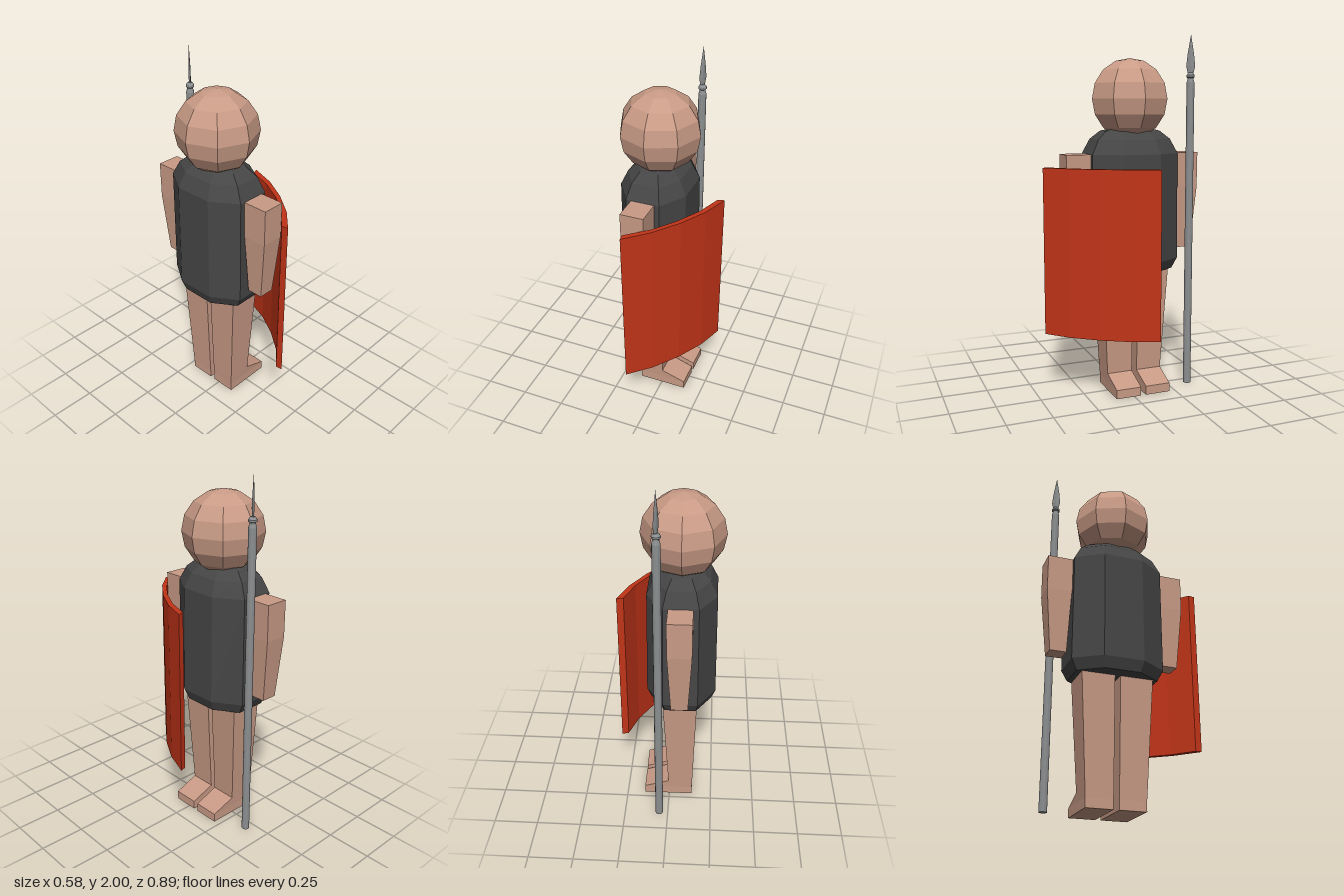
import * as THREE from 'three';

const paint = (color) => new THREE.MeshStandardMaterial({ color, flatShading: true, side: THREE.DoubleSide });

// Skin a stack of rings (each an equal list of [x, y, z], lowest first) and cap both ends
function loft(rings) {
  const n = rings[0].length, index = [];
  for (let r = 0; r < rings.length - 1; r++) {
    for (let i = 0; i < n; i++) {
      const a = r * n + i, b = r * n + (i + 1) % n;
      index.push(a, a + n, b, b, a + n, b + n);
    }
  }
  const top = (rings.length - 1) * n;
  for (let i = 1; i < n - 1; i++) index.push(0, i, i + 1, top, top + i + 1, top + i);
  const geo = new THREE.BufferGeometry();
  geo.setAttribute('position', new THREE.Float32BufferAttribute(rings.flat(2), 3));
  geo.setIndex(index);
  const flat = geo.toNonIndexed();
  flat.computeVertexNormals();
  return flat;
}

// Rectangular ring at height y
const boxRing = ([y, x0, x1, z0, z1]) => [[x1, y, z0], [x1, y, z1], [x0, y, z1], [x0, y, z0]];

// Stretched octagonal ring at height y with half sizes hx, hz
const octRing = ([y, hx, hz]) => [
  [1, -0.43], [1, 0.43], [0.5, 1], [-0.5, 1], [-1, 0.43], [-1, -0.43], [-0.5, -1], [0.5, -1],
].map(([x, z]) => [x * hx, y, z * hz]);

export function createModel() {
  const group = new THREE.Group();
  const skin = paint(0xc99b86), cloth = paint(0x464646), red = paint(0xc23418), metal = paint(0x8c8f90);
  const add = (name, geo, mat, x = 0, y = 0, z = 0, parent = group) => {
    const mesh = new THREE.Mesh(geo, mat);
    mesh.name = name;
    mesh.position.set(x, y, z);
    parent.add(mesh);
    return mesh;
  };
  const midX = -0.065, midZ = -0.055;

  // Head and tunic
  add('head', new THREE.SphereGeometry(0.223, 8, 8), skin, midX, 1.65, midZ);
  add('tunic', loft([
    [0.69, 0.168, 0.225], [0.75, 0.19, 0.255], [1.35, 0.185, 0.253],
    [1.43, 0.148, 0.213], [1.475, 0.1, 0.16], [1.49, 0.06, 0.1],
  ].map(octRing)), cloth, midX, 0, midZ);

  // Limbs, mirrored about the body's middle; the figure faces +x
  for (const [side, s] of [['left', 1], ['right', -1]]) {
    const limb = (rows) => loft(rows.map(([y, x0, x1, a, b]) =>
      boxRing([y, x0, x1, Math.min(a * s, b * s), Math.max(a * s, b * s)])));
    add(side + 'Leg', limb([
      [0, -0.135, 0.145, 0.015, 0.16], [0.05, -0.135, 0.145, 0.015, 0.16],
      [0.1, -0.137, 0.005, 0.015, 0.163], [0.72, -0.156, 0.035, 0.015, 0.198],
    ]), skin, 0, 0, midZ);
    add(side + 'Arm', limb([
      [0.8, -0.11, -0.02, 0.27, 0.36], [1.15, -0.129, -0.002, 0.255, 0.392],
      [1.35, -0.129, 0, 0.22, 0.393],
    ]), skin, 0, 0, midZ);
  }

  // Curved shield: plan outline raised to full height
  const outline = [
    [-0.08, 0.447], [0.04, 0.337], [0.147, 0.2], [0.232, 0.055], [0.287, -0.095],
    [0.25, -0.085], [0.2, 0.055], [0.122, 0.19], [0.03, 0.31], [-0.085, 0.41],
  ];
  const plan = new THREE.Shape(outline.map(([x, z]) => new THREE.Vector2(x, -z)));
  const shield = new THREE.ExtrudeGeometry(plan, { depth: 0.93, bevelEnabled: false });
  add('shield', shield.rotateX(-Math.PI / 2), red, 0, 0.35, 0);

  // Spear: shaft with collar, and a flat leaf blade
  const spear = new THREE.Group();
  spear.name = 'spear';
  spear.position.set(0.05, 0, -0.373);
  group.add(spear);
  const shaft = [[0, 0], [0.022, 0], [0.022, 1.74], [0.016, 1.76], [0.016, 1.765],
    [0.023, 1.77], [0.023, 1.78], [0.012, 1.795], [0, 1.795]];
  add('shaft', new THREE.LatheGeometry(shaft.map(([r, y]) => new THREE.Vector2(r, y)), 12), metal, 0, 0, 0, spear);
  const blade = loft([[1.785, 0.014, 0.005], [1.83, 0.025, 0.006], [1.9, 0.017, 0.005], [2, 0.0005, 0.0005]]
    .map(([y, w, t]) => [[w, y, 0], [0, y, t], [-w, y, 0], [0, y, -t]]));
  add('blade', blade, metal, 0, 0, 0, spear).rotation.y = 1.03;

  return group;
}
